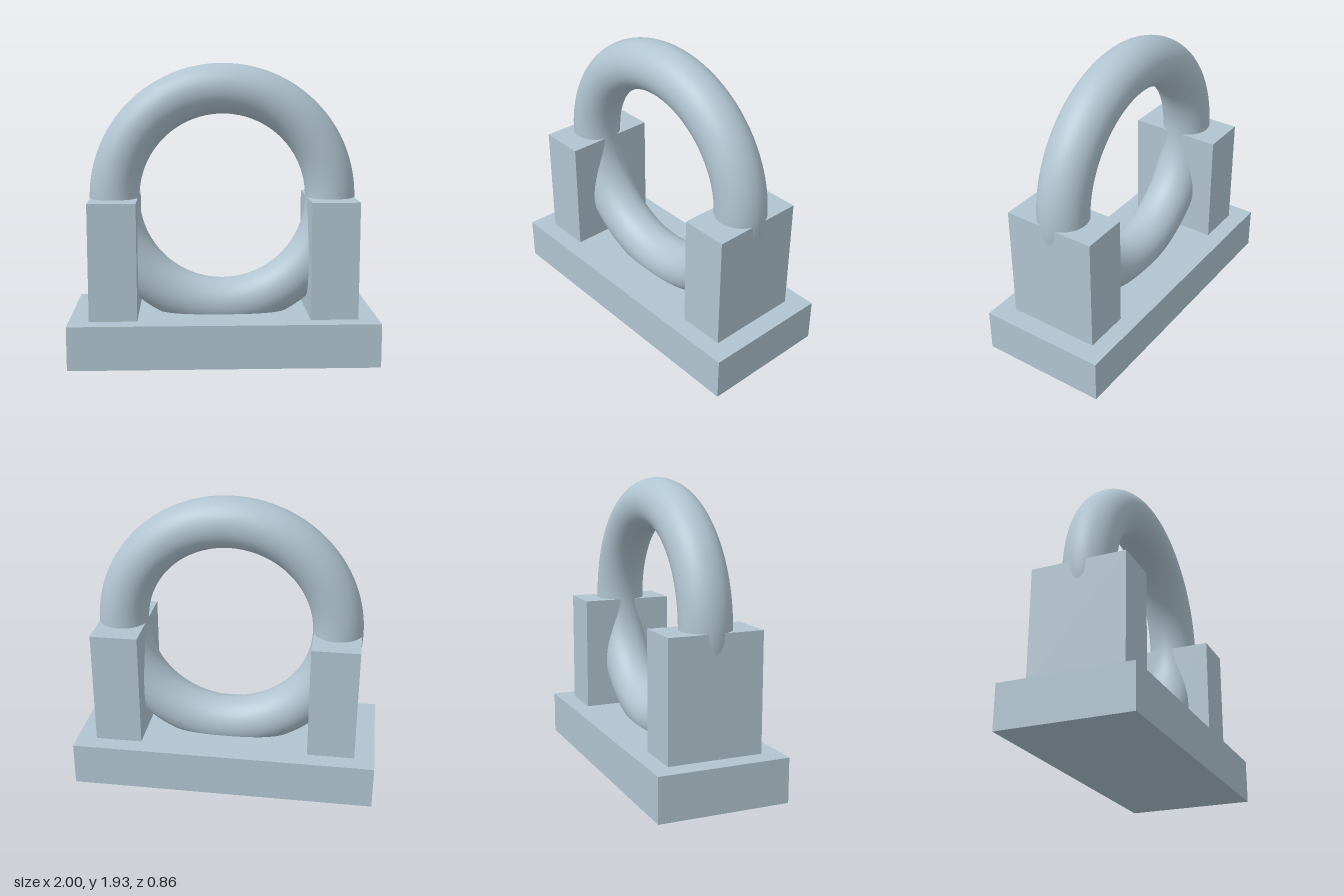
import * as THREE from 'three';

export function createModel() {
  const model = new THREE.Group();
  model.name = 'ringOnStand';
  const steel = new THREE.MeshStandardMaterial({ color: 0xb0c4d0 });
  steel.name = 'pale steel blue';

  const add = (name, geometry, x, y, z) => {
    const mesh = new THREE.Mesh(geometry, steel);
    mesh.name = name;
    mesh.position.set(x, y, z);
    model.add(mesh);
  };

  const baseHeight = 0.286;
  const ringCentre = 1.05;
  const postHeight = ringCentre - baseHeight;

  // Flat rectangular base
  add('base', new THREE.BoxGeometry(2, baseHeight, 0.856), 0, baseHeight / 2, 0);

  // Two upright posts, level with the ring's centre
  for (const [name, side] of [['leftPost', 1], ['rightPost', -1]]) {
    add(name, new THREE.BoxGeometry(0.31, postHeight, 0.62), side * 0.714, baseHeight + postHeight / 2, 0);
  }

  // Upright ring, sunk into the posts and the base
  add('ring', new THREE.TorusGeometry(0.714, 0.164, 48, 128), 0, ringCentre, 0);

  return model;
}
